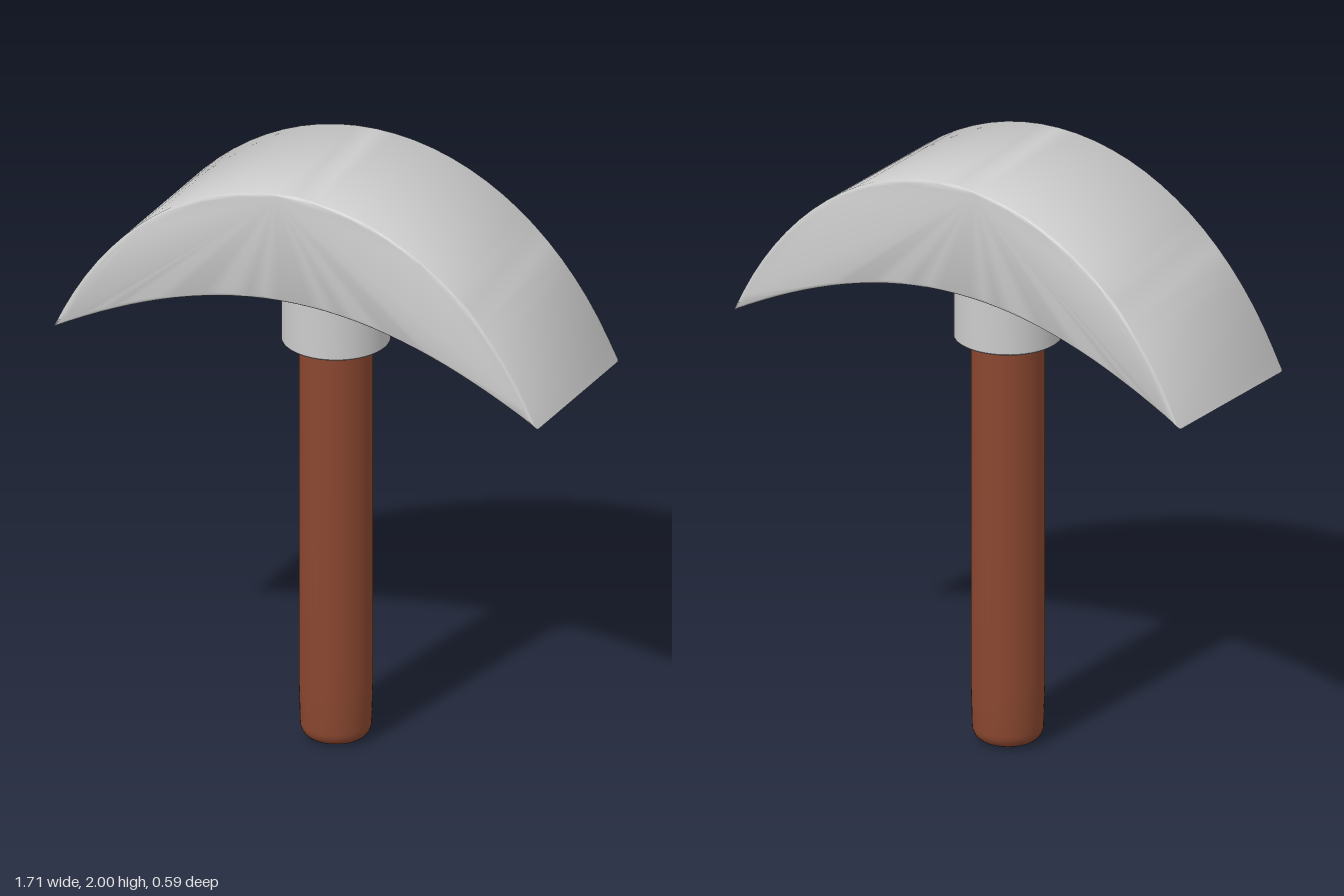
import * as THREE from 'three';
import { toCreasedNormals } from 'three/addons/utils/BufferGeometryUtils.js';

const grey = new THREE.MeshStandardMaterial({ color: 0xcccccc });
const brown = new THREE.MeshStandardMaterial({ color: 0x8a4730 });

function addMesh(group, name, geometry, material) {
  const mesh = new THREE.Mesh(toCreasedNormals(geometry, 0.6), material);
  mesh.name = name;
  group.add(mesh);
}

// Turned part from [radius, height] pairs, listed from bottom to top
function turned(profile) {
  return new THREE.LatheGeometry(profile.map(([r, y]) => new THREE.Vector2(r, y)), 48);
}

export function createModel() {
  const model = new THREE.Group();
  model.name = 'pickaxe';

  // Crescent head: outer arc right to left, then the shallow underside back
  const tipX = 0.857, tipY = 1.366, depth = 0.586, bevel = 0.013;
  const crescent = new THREE.Shape();
  crescent.moveTo(tipX, tipY);
  crescent.bezierCurveTo(0.69, 1.745, 0.37, 2, 0, 2);
  crescent.bezierCurveTo(-0.37, 2, -0.69, 1.745, -tipX, tipY);
  crescent.bezierCurveTo(-0.56, 1.53, -0.29, 1.625, 0, 1.625);
  crescent.bezierCurveTo(0.29, 1.625, 0.56, 1.53, tipX, tipY);
  const head = new THREE.ExtrudeGeometry(crescent, {
    depth: depth - 2 * bevel,
    curveSegments: 16,
    bevelThickness: bevel,
    bevelSize: bevel,
    bevelOffset: -bevel,
    bevelSegments: 4,
  });
  head.translate(0, 0, bevel - depth / 2);
  addMesh(model, 'head', head, grey);

  // Collar joining the head to the handle
  addMesh(model, 'collar', turned([
    [0, 1.386], [0.168, 1.386], [0.173, 1.391], [0.173, 1.68], [0, 1.68],
  ]), grey);

  // Handle with a rounded foot
  const handle = [[0, 0], [0.06, 0.002]];
  for (let i = 0; i <= 6; i++) {
    const a = (i / 6) * Math.PI / 2;
    handle.push([0.072 + 0.042 * Math.sin(a), 0.052 - 0.048 * Math.cos(a)]);
  }
  handle.push([0.118, 0.2], [0.118, 1.5], [0, 1.5]);
  addMesh(model, 'handle', turned(handle), brown);

  return model;
}
